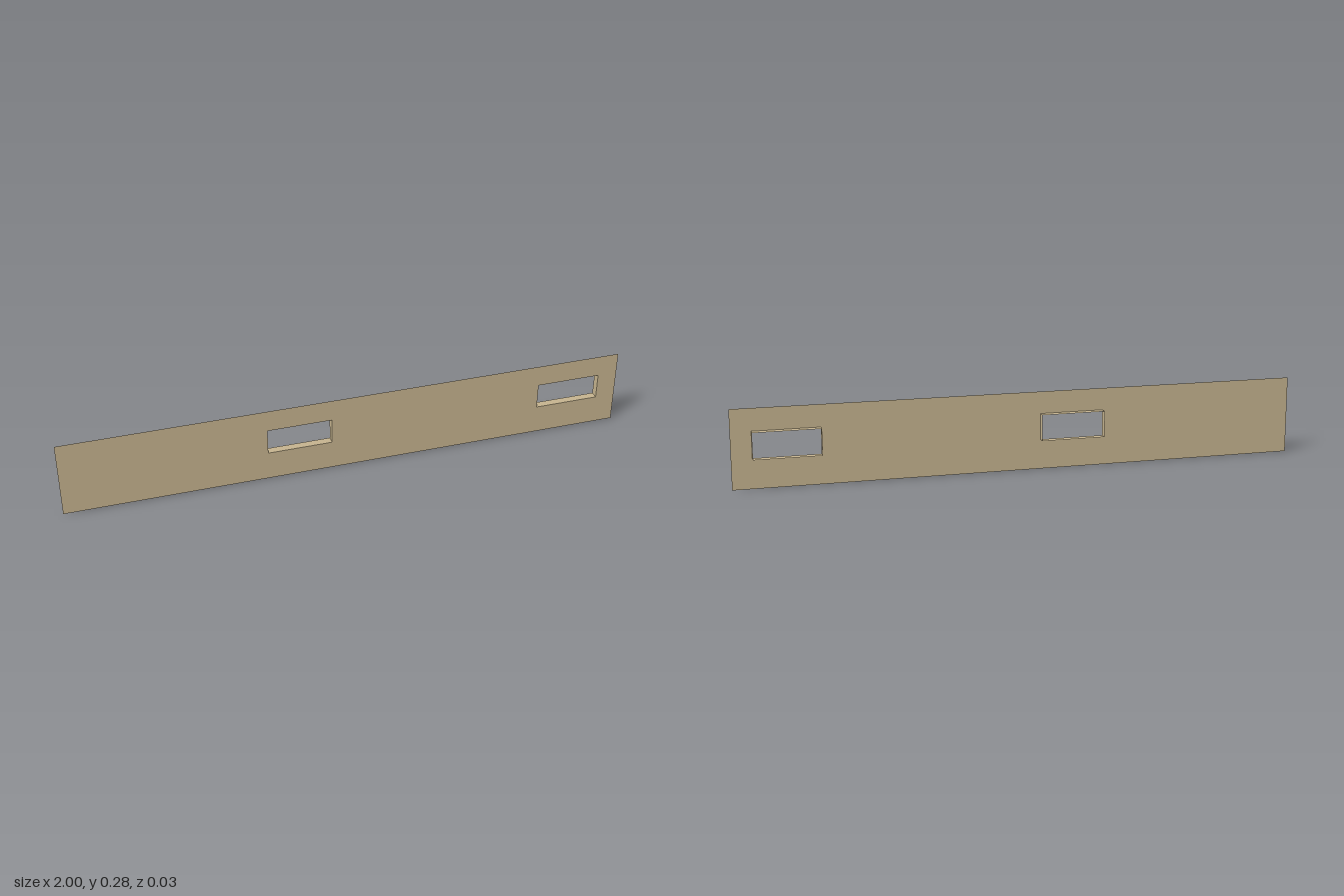
import * as THREE from 'three';
import { mergeGeometries } from 'three/addons/utils/BufferGeometryUtils.js';

const HEIGHT = 0.275, FRONT = 0.014, DEPTH = 0.028;
const SILL = 0.105, HEAD = 0.197;
const WINDOWS = [[-0.29, -0.063], [0.70, 0.93]];

// Four open-ended faces lining a window opening
function revealGeometry(w, h) {
  const parts = [];
  for (const s of [-1, 1]) {
    parts.push(new THREE.PlaneGeometry(w, DEPTH).rotateX(s * Math.PI / 2).translate(0, s * h / 2, 0));
    parts.push(new THREE.PlaneGeometry(DEPTH, h).rotateY(-s * Math.PI / 2).translate(s * w / 2, 0, 0));
  }
  return mergeGeometries(parts);
}

export function createModel() {
  const model = new THREE.Group();
  model.name = 'wallWithWindows';
  const plaster = new THREE.MeshStandardMaterial({ color: 0xc6b48f, side: THREE.DoubleSide });
  plaster.name = 'sandPlaster';

  // Thin wall sheet with window holes
  const outline = new THREE.Shape();
  outline.moveTo(-1, 0).lineTo(1, 0).lineTo(1, HEIGHT).lineTo(-1, HEIGHT).closePath();
  for (const [x0, x1] of WINDOWS) {
    const hole = new THREE.Path();
    hole.moveTo(x0, SILL).lineTo(x0, HEAD).lineTo(x1, HEAD).lineTo(x1, SILL).closePath();
    outline.holes.push(hole);
  }
  const wall = new THREE.Mesh(new THREE.ShapeGeometry(outline), plaster);
  wall.name = 'wall';
  wall.position.z = FRONT;
  model.add(wall);

  // Window reveals projecting behind the wall
  WINDOWS.forEach(([x0, x1], i) => {
    const reveal = new THREE.Mesh(revealGeometry(x1 - x0, HEAD - SILL), plaster);
    reveal.name = i ? 'leftWindowReveal' : 'middleWindowReveal';
    reveal.position.set((x0 + x1) / 2, (SILL + HEAD) / 2, FRONT - DEPTH / 2);
    model.add(reveal);
  });
  return model;
}
